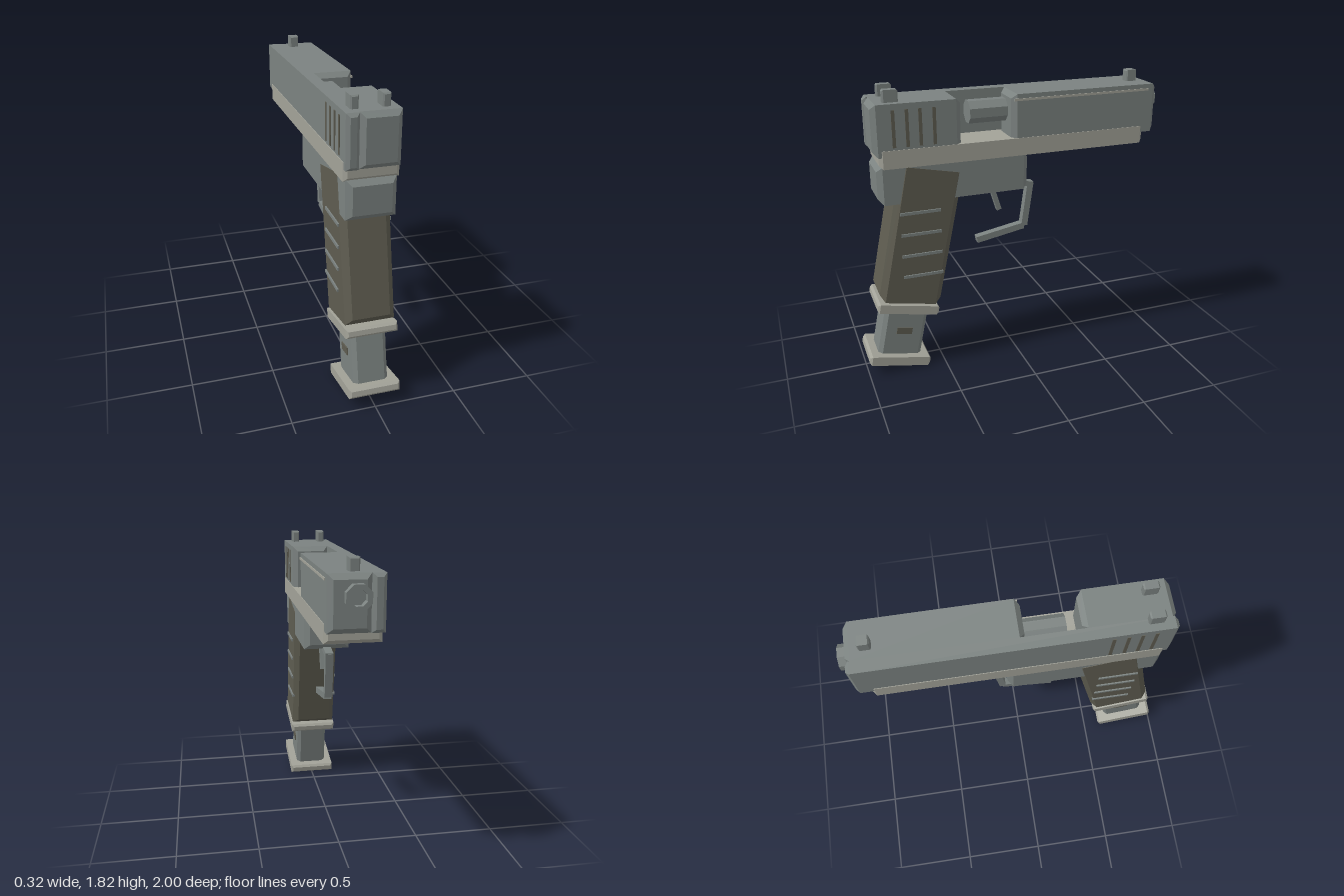
import * as THREE from 'three';

const mat = (name, color) => {
  const m = new THREE.MeshStandardMaterial({ color });
  m.name = name;
  return m;
};

export function createModel() {
  const steel = mat('steel grey', 0x7b8280);
  const pale = mat('pale grey', 0xa2a298);
  const olive = mat('dark olive', 0x5e5c50);
  const model = new THREE.Group();
  const TILT = -0.205; // rake of the grip and magazine

  const add = (name, geometry, material, x, y, z, tilt = 0) => {
    const mesh = new THREE.Mesh(geometry, material);
    mesh.name = name;
    mesh.position.set(x, y, z);
    mesh.rotation.x = tilt;
    model.add(mesh);
    return mesh;
  };

  // Box whose two z ends are chamfered by b
  const endBevelled = (w, h, d, b) => {
    const x = w / 2 - b, y = h / 2 - b;
    const shape = new THREE.Shape([[-x, -y], [x, -y], [x, y], [-x, y]].map(p => new THREE.Vector2(...p)));
    const g = new THREE.ExtrudeGeometry(shape, {
      depth: d - 2 * b, bevelSize: b, bevelThickness: b, bevelSegments: 1,
    });
    return g.translate(0, 0, b - d / 2);
  };
  const block = (name, material, w, h, d, b, x, y, z, tilt) =>
    add(name, endBevelled(w, h, d, b), material, x, y, z, tilt);
  const box = (name, material, w, h, d, x, y, z, tilt) =>
    add(name, new THREE.BoxGeometry(w, h, d), material, x, y, z, tilt);

  // Slide: a full-length wall on one side, two blocks leaving the port open on the other
  block('slideWall', steel, 0.075, 0.31, 1.835, 0.02, -0.1175, 1.595, -0.0375);
  block('slideRear', steel, 0.235, 0.31, 0.53, 0.03, 0.0375, 1.595, 0.615);
  block('slideFront', steel, 0.235, 0.31, 0.985, 0.03, 0.0375, 1.595, -0.4625);
  box('slideRidge', pale, 0.008, 0.014, 0.91, 0.156, 1.716, -0.435);

  // Barrel: hollow octagonal tube
  const profile = [[0, -0.27], [0.074, -0.27], [0.074, 1], [0.045, 1], [0.045, 0.95]];
  const tube = new THREE.LatheGeometry(profile.map(p => new THREE.Vector2(...p)), 8)
    .rotateY(Math.PI / 8).rotateX(-Math.PI / 2).toNonIndexed();
  tube.computeVertexNormals();
  add('barrel', tube, steel, 0, 1.633, 0);
  add('bore', new THREE.CircleGeometry(0.046, 8).rotateZ(Math.PI / 8).rotateY(Math.PI), olive, 0, 1.633, -0.951);

  // Sights
  for (const x of [-0.088, 0.088]) block('rearSight', steel, 0.046, 0.09, 0.092, 0.008, x, 1.777, 0.755);
  block('frontSight', steel, 0.06, 0.09, 0.072, 0.008, 0, 1.777, -0.838);

  // Frame
  block('rail', pale, 0.318, 0.11, 1.72, 0.022, 0, 1.425, -0.012);
  block('frame', steel, 0.29, 0.235, 0.945, 0.033, 0, 1.2625, 0.392);

  // Grip and magazine
  block('grip', olive, 0.297, 0.88, 0.395, 0.036, 0, 0.905, 0.62, TILT);
  block('gripCollar', pale, 0.312, 0.058, 0.398, 0.014, 0, 0.434, 0.724, TILT);
  block('magazine', steel, 0.212, 0.4, 0.28, 0.025, 0, 0.262, 0.757, TILT);
  block('magazineBase', pale, 0.312, 0.06, 0.398, 0.014, 0, 0.072, 0.797, TILT);

  // Details repeated on both sides
  for (const s of [-1, 1]) {
    for (const z of [0.755, 0.675, 0.597, 0.514])
      box('slideSerration', olive, 0.008, 0.22, 0.02, s * 0.155, 1.605, z);
    for (const y of [1.08, 0.942, 0.803, 0.664])
      box('gripRib', steel, 0.02, 0.018, 0.25, s * 0.147, y, 0.62);
    box('magazineCatch', olive, 0.012, 0.045, 0.1, s * 0.107, 0.265, 0.753, TILT);
  }

  // Trigger and guard: straight bars between [z, y] points
  const bar = (name, [z1, y1], [z2, y2], w, t) => {
    const dz = z2 - z1, dy = y2 - y1;
    box(name, steel, w, t, Math.hypot(dz, dy), 0, (y1 + y2) / 2, (z1 + z2) / 2, -Math.atan2(dy, dz));
  };
  bar('trigger', [0.14, 1.2], [0.07, 0.975], 0.04, 0.03);
  bar('guardTop', [0.1, 1.168], [-0.16, 1.124], 0.05, 0.034);
  bar('guardFront', [-0.143, 1.135], [-0.102, 0.842], 0.05, 0.042);
  bar('guardBottom', [-0.098, 0.842], [0.225, 0.785], 0.05, 0.042);

  return model;
}
